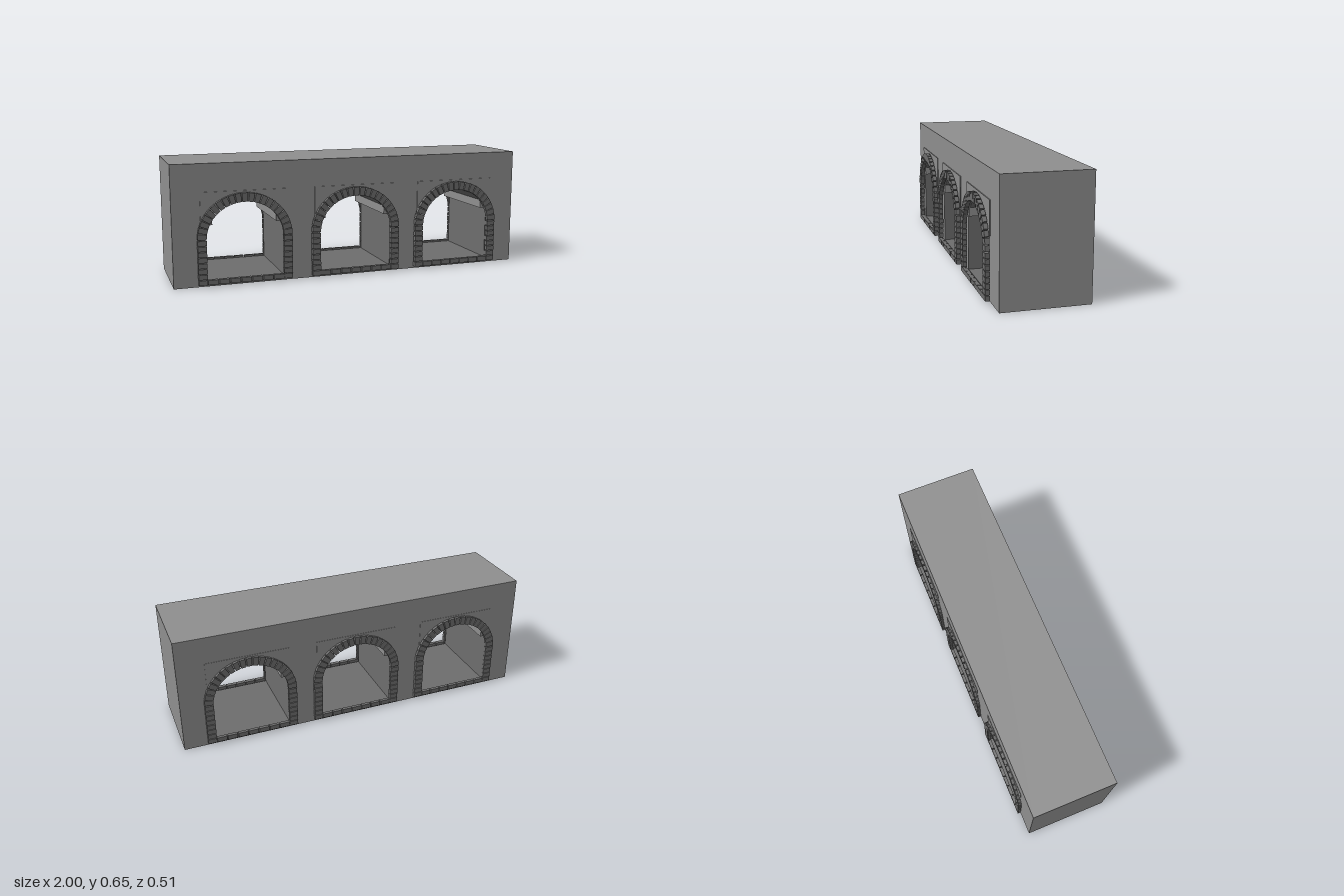
import * as THREE from 'three';
import { toCreasedNormals } from 'three/addons/utils/BufferGeometryUtils.js';

const stone = new THREE.MeshStandardMaterial({ color: 0x8f8f8f });
const darkStone = new THREE.MeshStandardMaterial({ color: 0x6e6e6e });

const HEIGHT = 0.655, FRONT = 0.224, BACK = -0.238, DEPTH = FRONT - BACK;
const ARCHES = [-0.618, 0.005, 0.617];
const SPRING = 0.257;                    // height where the arch curve starts
const INNER = 0.2075, OUTER = 0.255;     // half widths of the brick surround
const TUNNEL = 0.214, LEDGE = 0.172, LEDGE_Y = 0.33;
const VAULT_X = 0.22, VAULT_Y = 0.197;   // radii of the vault
const VAULT_START = Math.acos(LEDGE / VAULT_X);

function add(parent, name, geometry, material, x = 0, y = 0, z = 0) {
  const mesh = new THREE.Mesh(geometry, material);
  mesh.name = name;
  mesh.position.set(x, y, z);
  parent.add(mesh);
  return mesh;
}

function extrude(shape, depth) {
  const geo = new THREE.ExtrudeGeometry(shape, { depth, bevelEnabled: false, curveSegments: 32 });
  return toCreasedNormals(geo, 0.5);
}

// Ledge and vault edge from left to right, shared by wall and plates
function traceVault(s, x) {
  s.lineTo(x - LEDGE, LEDGE_Y);
  s.absellipse(x, SPRING, VAULT_X, VAULT_Y, Math.PI - VAULT_START, VAULT_START, true);
  s.lineTo(x + LEDGE, LEDGE_Y);
}

// Wall outline with the three tunnels cut up from its base
function createWall() {
  const s = new THREE.Shape();
  s.moveTo(-1, 0);
  for (const x of ARCHES) {
    s.lineTo(x - TUNNEL, 0);
    s.lineTo(x - TUNNEL, LEDGE_Y);
    traceVault(s, x);
    s.lineTo(x + TUNNEL, LEDGE_Y);
    s.lineTo(x + TUNNEL, 0);
  }
  s.lineTo(1, 0);
  s.lineTo(1, HEIGHT);
  s.lineTo(-1, HEIGHT);
  s.closePath();
  return extrude(s, DEPTH);
}

// Thin plate behind the upper part of a brick ring
function createPlate(depth) {
  const w = 0.233, top = 0.505;
  const s = new THREE.Shape();
  s.moveTo(-w, LEDGE_Y);
  traceVault(s, 0);
  s.lineTo(w, LEDGE_Y);
  s.lineTo(w, top);
  s.lineTo(-w, top);
  s.closePath();
  return extrude(s, depth);
}

// Dark lining of the vault
function createVaultLining() {
  const s = new THREE.Shape();
  const t = 0.003, end = Math.PI - VAULT_START;
  s.absellipse(0, SPRING, VAULT_X, VAULT_Y, VAULT_START, end, false);
  s.absellipse(0, SPRING, VAULT_X - t, VAULT_Y - t, end, VAULT_START, true);
  s.closePath();
  return extrude(s, DEPTH);
}

// Brick surround: two legs, a ring of wedge bricks and a sill
function createSurround(name, depth) {
  const group = new THREE.Group();
  group.name = name;
  const thick = OUTER - INNER, mid = (OUTER + INNER) / 2, midY = 0.2155;

  const legBrick = new THREE.BoxGeometry(thick, 0.026, depth);
  for (const side of [-1, 1]) {
    for (let i = 0; i < 8; i++) {
      add(group, 'legBrick', legBrick, darkStone, side * mid, 0.028 + i * 0.0302, 0);
    }
  }

  const count = 21;
  const archBrick = new THREE.BoxGeometry(thick, 0.03, depth);
  const p = archBrick.attributes.position;
  for (let i = 0; i < p.count; i++) if (p.getX(i) < 0) p.setY(i, p.getY(i) * 0.9);
  archBrick.computeVertexNormals();
  for (let i = 0; i < count; i++) {
    const a = Math.PI * (i + 0.5) / count;
    const c = Math.cos(a), s = Math.sin(a);
    const brick = add(group, 'archBrick', archBrick, darkStone, mid * c, SPRING + midY * s, 0);
    brick.rotation.z = Math.atan2(s / midY, c / mid);
  }

  const sillCount = 7, pitch = 2 * INNER / sillCount;
  const sillBrick = new THREE.BoxGeometry(pitch - 0.005, 0.026, depth);
  for (let i = 0; i < sillCount; i++) {
    add(group, 'sillBrick', sillBrick, darkStone, -INNER + (i + 0.5) * pitch, 0.028, 0);
  }
  return group;
}

export function createModel() {
  const model = new THREE.Group();
  model.name = 'archedViaduct';
  add(model, 'wall', createWall(), stone, 0, 0, BACK);

  const frontPlate = createPlate(0.005), backPlate = createPlate(0.002);
  const vault = createVaultLining();
  const floor = new THREE.BoxGeometry(2 * TUNNEL, 0.03, DEPTH);
  const lining = new THREE.BoxGeometry(0.003, LEDGE_Y - 0.03, DEPTH);
  const midZ = (FRONT + BACK) / 2;

  for (const x of ARCHES) {
    add(model, 'tunnelFloor', floor, darkStone, x, 0.015, midZ);
    add(model, 'vaultLining', vault, darkStone, x, 0, BACK);
    for (const side of [-1, 1]) {
      add(model, 'sideLining', lining, darkStone, x + side * (TUNNEL - 0.0015), (LEDGE_Y + 0.03) / 2, midZ);
    }
    add(model, 'frontPlate', frontPlate, stone, x, 0, FRONT);
    add(model, 'backPlate', backPlate, stone, x, 0, BACK - 0.002);

    const front = createSurround('frontSurround', 0.023);
    front.position.set(x, 0, 0.2455);
    const back = createSurround('backSurround', 0.018);
    back.position.set(x, 0, -0.2465);
    model.add(front, back);
  }
  return model;
}
